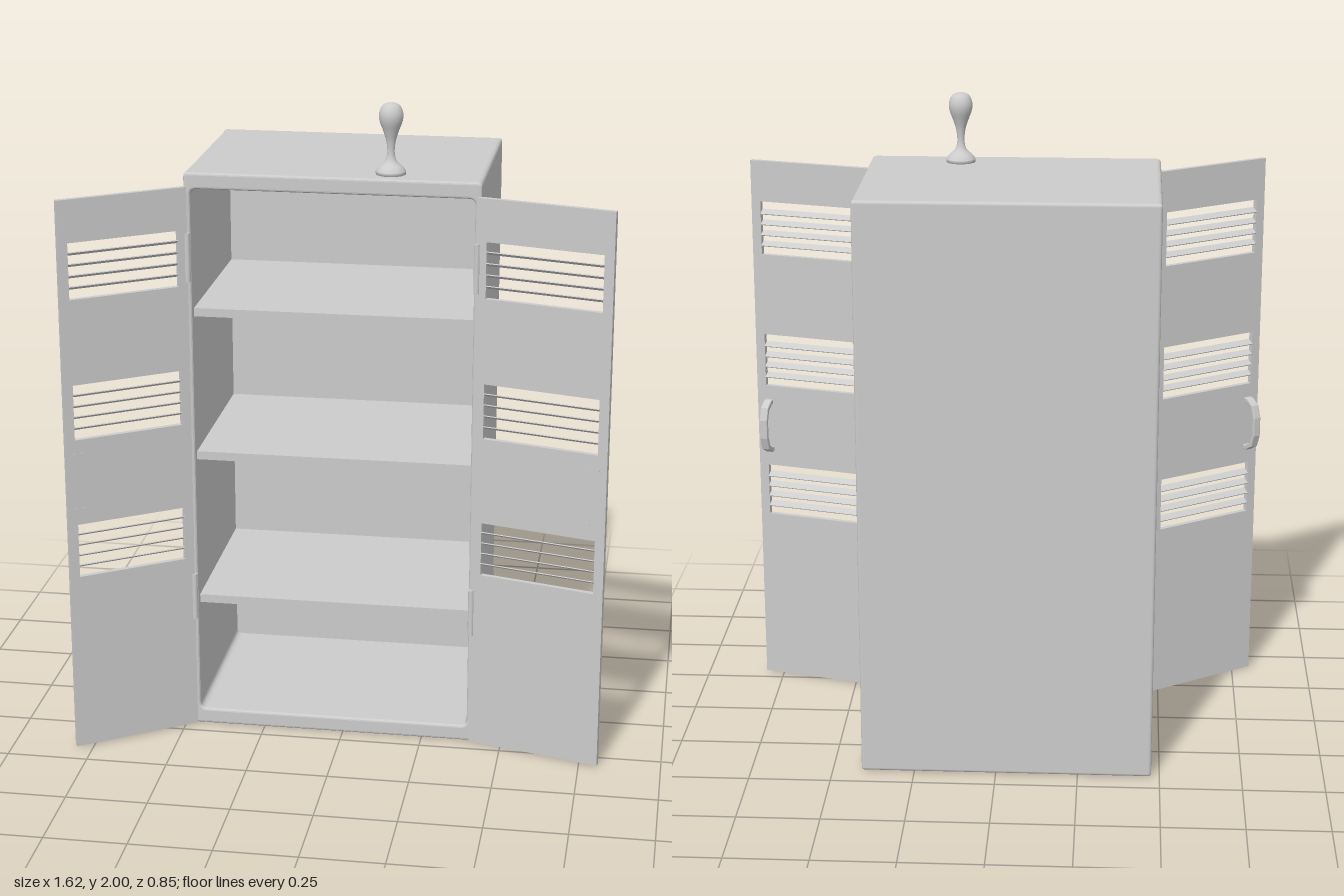
import * as THREE from 'three';
import { RoundedBoxGeometry } from 'three/addons/geometries/RoundedBoxGeometry.js';

const material = new THREE.MeshStandardMaterial({ color: 0xcccccc });

function add(parent, name, geometry, x = 0, y = 0, z = 0) {
  const mesh = new THREE.Mesh(geometry, material);
  mesh.name = name;
  mesh.position.set(x, y, z);
  parent.add(mesh);
  return mesh;
}

// Rectangle with rounded corners, as a Shape or a Path for holes
function roundRect(Type, x0, y0, x1, y1, r) {
  const p = new Type();
  p.moveTo(x0 + r, y0);
  p.lineTo(x1 - r, y0);
  p.quadraticCurveTo(x1, y0, x1, y0 + r);
  p.lineTo(x1, y1 - r);
  p.quadraticCurveTo(x1, y1, x1 - r, y1);
  p.lineTo(x0 + r, y1);
  p.quadraticCurveTo(x0, y1, x0, y1 - r);
  p.lineTo(x0, y0 + r);
  p.quadraticCurveTo(x0, y0, x0 + r, y0);
  return p;
}

function rectPath(x0, y0, x1, y1) {
  return new THREE.Path([[x0, y0], [x1, y0], [x1, y1], [x0, y1]].map(p => new THREE.Vector2(...p)));
}

// Arched pull handle, feet at x = 0 and grip towards +x
function handleGeometry() {
  const pts = [
    [0, -0.088], [0.015, -0.088], [0.045, -0.07], [0.058, -0.03],
    [0.058, 0.03], [0.045, 0.07], [0.015, 0.088], [0, 0.088],
    [0, 0.072], [0.012, 0.072], [0.034, 0.058], [0.045, 0.026],
    [0.045, -0.026], [0.034, -0.058], [0.012, -0.072], [0, -0.072],
  ].map(p => new THREE.Vector2(...p));
  const g = new THREE.ExtrudeGeometry(new THREE.Shape(pts), {
    depth: 0.02, bevelSize: 0.003, bevelThickness: 0.003, bevelSegments: 2, bevelOffset: -0.003,
  });
  return g.translate(0, 0, -0.01);
}

// Door swung open about its hinge edge; out = local z side of the outer face
function makeDoor(name, hingeX, angle, length, out) {
  const door = new THREE.Group();
  door.name = name;
  const thick = 0.016, v0 = 0.03, v1 = length - 0.03;
  const vents = [[0.568, 0.738], [1.008, 1.18], [1.443, 1.615]];

  const shape = new THREE.Shape([[0, 0.003], [length, 0.003], [length, 1.745], [0, 1.745]]
    .map(p => new THREE.Vector2(...p)));
  for (const [a, b] of vents) shape.holes.push(rectPath(v0, a, v1, b));
  add(door, 'doorPanel', new THREE.ExtrudeGeometry(shape, { depth: thick, bevelEnabled: false })
    .translate(0, 0, -thick / 2));

  // Tilted louvre slats
  for (const [a, b] of vents) {
    for (let i = 1; i < 5; i++) {
      const slat = add(door, 'ventSlat', new THREE.BoxGeometry(v1 - v0, 0.003, 0.024),
        (v0 + v1) / 2, a + (b - a) * i / 5, 0);
      slat.rotation.x = out * 0.52;
    }
  }

  // Outside handle and the screws on the inner face
  const hx = length - 0.04, hy = 0.875;
  const handle = add(door, 'doorHandle', handleGeometry(), hx, hy, out * (thick / 2 - 0.002));
  handle.rotation.y = -out * Math.PI / 2;
  for (const dy of [-0.087, 0.087]) for (const dx of [-0.012, 0.012]) {
    const screw = add(door, 'handleScrew', new THREE.CylinderGeometry(0.005, 0.005, 0.006, 10),
      hx + dx, hy + dy, -out * thick / 2);
    screw.rotation.x = Math.PI / 2;
  }

  // Hinge barrels
  for (const y of [0.438, 1.53]) {
    add(door, 'hinge', new THREE.CylinderGeometry(0.009, 0.009, 0.15, 14), 0, y, -out * 0.006);
  }
  door.position.set(hingeX, 0, 0.195);
  door.rotation.y = angle;
  return door;
}

export function createModel() {
  const model = new THREE.Group();
  model.name = 'cabinet';
  const x0 = -0.475, x1 = 0.412, height = 1.787, back = -0.428, front = 0.195;
  const cx = (x0 + x1) / 2, bevel = 0.008;

  // Hollow shell with softened edges
  const shell = roundRect(THREE.Shape, x0, 0, x1, height, 0.015);
  shell.holes.push(roundRect(THREE.Path, -0.455, 0.05, 0.392, 1.737, 0.02));
  const shellGeo = new THREE.ExtrudeGeometry(shell, {
    depth: front - back - 0.01 - 2 * bevel, bevelSize: bevel, bevelThickness: bevel,
    bevelOffset: -bevel, bevelSegments: 3, curveSegments: 5,
  });
  add(model, 'shell', shellGeo, 0, 0, back + 0.01 + bevel);
  add(model, 'backPanel', new RoundedBoxGeometry(x1 - x0, height, 0.03, 3, 0.01),
    cx, height / 2, back + 0.015);

  // Shelves
  for (const y of [0.418, 0.894, 1.352]) {
    add(model, 'shelf', new THREE.BoxGeometry(0.855, 0.026, 0.575), cx, y, -0.118);
  }

  // Doors
  model.add(makeDoor('rightDoor', -0.468, Math.PI + 0.59, 0.403, 1));
  model.add(makeDoor('leftDoor', 0.402, -0.265, 0.42, -1));

  // Turned ornament standing on top
  const profile = new THREE.SplineCurve([
    [0.045, 0.01], [0.036, 0.023], [0.018, 0.04], [0.011, 0.065], [0.014, 0.1],
    [0.023, 0.13], [0.034, 0.16], [0.035, 0.185], [0.024, 0.207], [0.001, 0.215],
  ].map(p => new THREE.Vector2(...p))).getPoints(36);
  const points = [new THREE.Vector2(0, 0), new THREE.Vector2(0.044, 0), ...profile, new THREE.Vector2(0, 0.215)];
  add(model, 'topOrnament', new THREE.LatheGeometry(points, 36), 0.134, height - 0.002, 0.118);

  return model;
}
